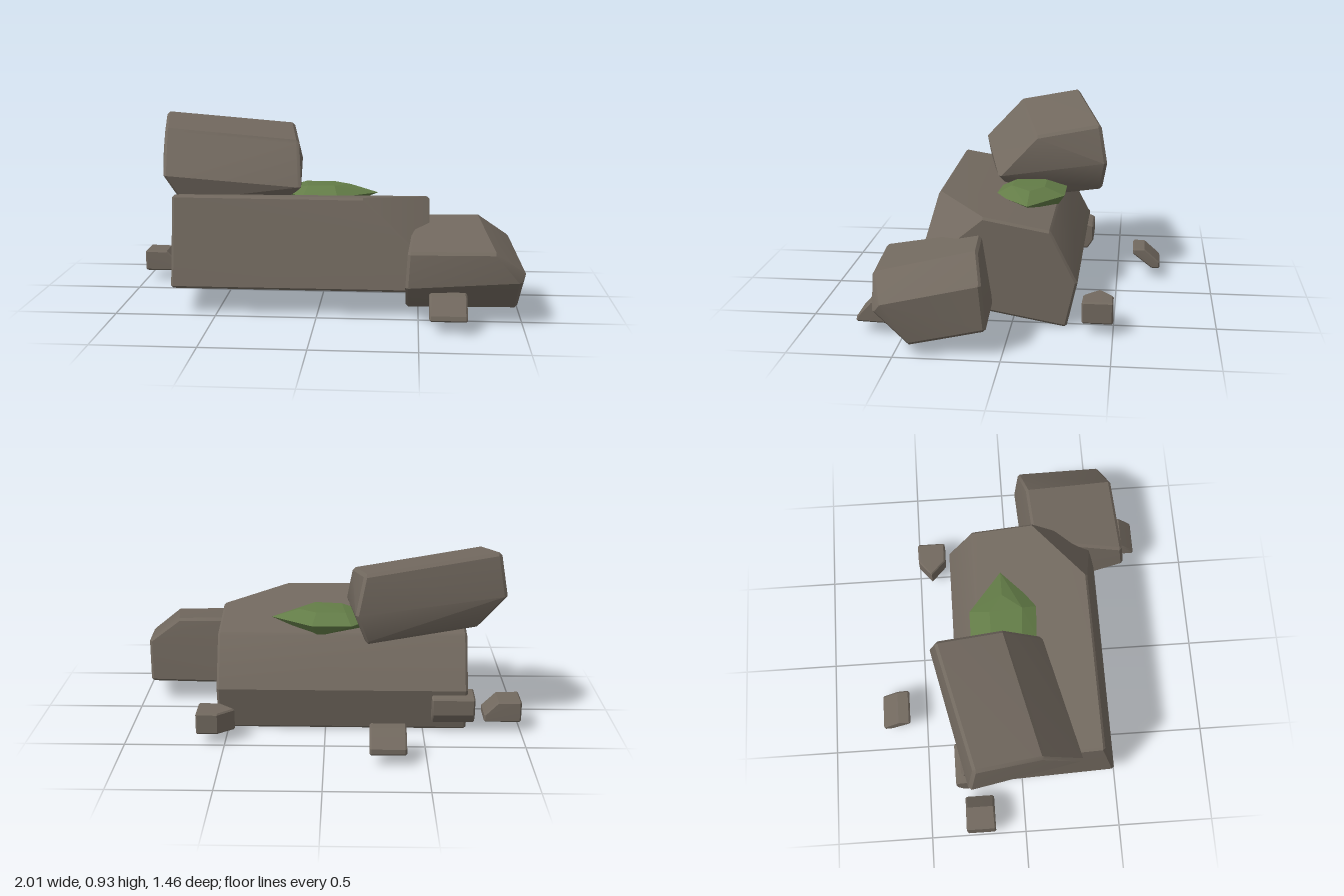
import * as THREE from 'three';
import { ConvexGeometry } from 'three/addons/geometries/ConvexGeometry.js';
import { toCreasedNormals } from 'three/addons/utils/BufferGeometryUtils.js';

// Convex stone through the given corners, each corner and edge bevelled by r
function hewn(corners, r) {
  const pts = corners.map((c) => new THREE.Vector3(...c));
  const centre = pts.reduce((s, p) => s.add(p), new THREE.Vector3()).divideScalar(pts.length);
  const out = [];
  for (const p of pts) {
    const inner = p.clone().add(centre.clone().sub(p).normalize().multiplyScalar(r * 1.4));
    for (let axis = 0; axis < 3; axis++) {
      for (const s of [-r, r]) {
        const q = inner.clone();
        q.setComponent(axis, q.getComponent(axis) + s);
        out.push(q);
      }
    }
  }
  return toCreasedNormals(new ConvexGeometry(out), 0.45);
}

export function createModel() {
  const group = new THREE.Group();
  const stone = new THREE.MeshStandardMaterial({ color: 0x72695f });
  stone.name = 'stone';
  const moss = new THREE.MeshStandardMaterial({ color: 0x637c47 });
  moss.name = 'moss';

  const add = (name, geometry, material = stone) => {
    const mesh = new THREE.Mesh(geometry, material);
    mesh.name = name;
    group.add(mesh);
  };

  // Long base boulder: a five-sided section with one corner knocked off
  const section = [[0.575, 0.405], [0.135, 0.485], [0.0, -0.27], [0.22, -0.32], [0.475, -0.19]];
  const base = section.map(([y, z]) => [-0.725, y, z]);
  for (const [y, z] of section.slice(1)) base.push([0.555, y, z]);
  base.push([0.23, 0.575, 0.405], [0.555, 0.535, 0.14], [0.555, 0.27, 0.462]);
  add('baseBoulder', hewn(base, 0.012));

  // Upper boulder resting across the back right of the base
  add('upperBoulder', hewn([
    [-0.875, 0.92, -0.24], [-0.82, 0.868, 0.09], [-0.79, 0.655, 0.29], [-0.91, 0.71, -0.27],
    [-0.71, 0.515, 0.25], [-0.78, 0.55, -0.25],
    [-0.19, 0.845, -0.4], [-0.13, 0.79, -0.06], [-0.105, 0.575, 0.14], [-0.15, 0.65, -0.435],
    [-0.2, 0.505, -0.41], [-0.2, 0.465, -0.16], [-0.2, 0.5, 0.1],
  ], 0.016));

  // Smaller boulder leaning on the front corner
  add('frontBoulder', hewn([
    [0.8, 0.452, 0.125], [0.48, 0.447, 0.15], [0.445, 0.355, 0.63], [0.87, 0.355, 0.61],
    [0.955, 0.34, 0.09], [1.01, 0.25, 0.56], [0.435, 0.19, 0.65], [0.99, 0.21, 0.59],
    [0.435, 0.045, 0.43], [0.985, 0.05, 0.43],
    [0.45, 0.1, 0.1], [0.95, 0.12, 0.07], [0.97, 0.09, 0.22],
  ], 0.014));

  // Low faceted moss cushion
  add('mossPatch', new ConvexGeometry([
    [-0.28, 0.53, -0.05], [-0.1, 0.53, 0.125], [0.08, 0.53, 0.14], [0.285, 0.525, -0.05],
    [0.07, 0.53, -0.225], [-0.13, 0.53, -0.225],
    [-0.08, 0.572, 0.04], [0.06, 0.575, 0.05], [0.14, 0.568, -0.05], [0.05, 0.57, -0.12], [-0.1, 0.57, -0.12],
    [0.17, 0.48, -0.05], [0.04, 0.5, 0.08], [0.04, 0.46, -0.18], [-0.2, 0.46, -0.05],
  ].map((p) => new THREE.Vector3(...p))), moss);

  // Pebbles: an extruded profile, given as four lower and upper corners per end
  const prism = (near, far) => hewn([...near, ...far], 0.008);
  const alongZ = (profile, z0, z1) => prism(profile.map(([x, y]) => [x, y, z0]), profile.map(([x, y]) => [x, y, z1]));
  const alongX = (profile, x0, x1) => prism(profile.map(([z, y]) => [x0, y, z]), profile.map(([z, y]) => [x1, y, z]));
  const alongY = (profile, y0, y1) => prism(profile.map(([x, z]) => [x, y0, z]), profile.map(([x, z]) => [x, y1, z]));

  add('pebbleRight', alongZ([[-1, 0.053], [-1, 0.157], [-0.88, 0.157], [-0.81, 0.085], [-0.81, 0.053]], -0.31, -0.16));
  add('pebbleBack', alongX([[-0.585, 0.155], [-0.645, 0.155], [-0.73, 0.08], [-0.73, 0.053], [-0.69, 0.053], [-0.585, 0.135]], -0.4, -0.22));
  add('pebbleBackLeft', alongY([[0.45, -0.43], [0.53, -0.5], [0.64, -0.5], [0.64, -0.35], [0.53, -0.35]], 0.053, 0.158));
  add('pebbleFront', alongX([[0.73, 0.058], [0.725, 0.08], [0.655, 0.157], [0.58, 0.157], [0.58, 0.053]], 0.55, 0.73));
  add('pebbleBackRight', alongX([[-0.35, 0.185], [-0.35, 0.1], [-0.32, 0.053], [-0.22, 0.053], [-0.22, 0.195], [-0.32, 0.195]], -0.76, -0.54));
  add('pebbleUnder', alongX([[0.16, 0.06], [0.15, 0.053], [0.06, 0.053], [0.06, 0.15], [0.15, 0.15]], -0.5, -0.32));

  return group;
}
